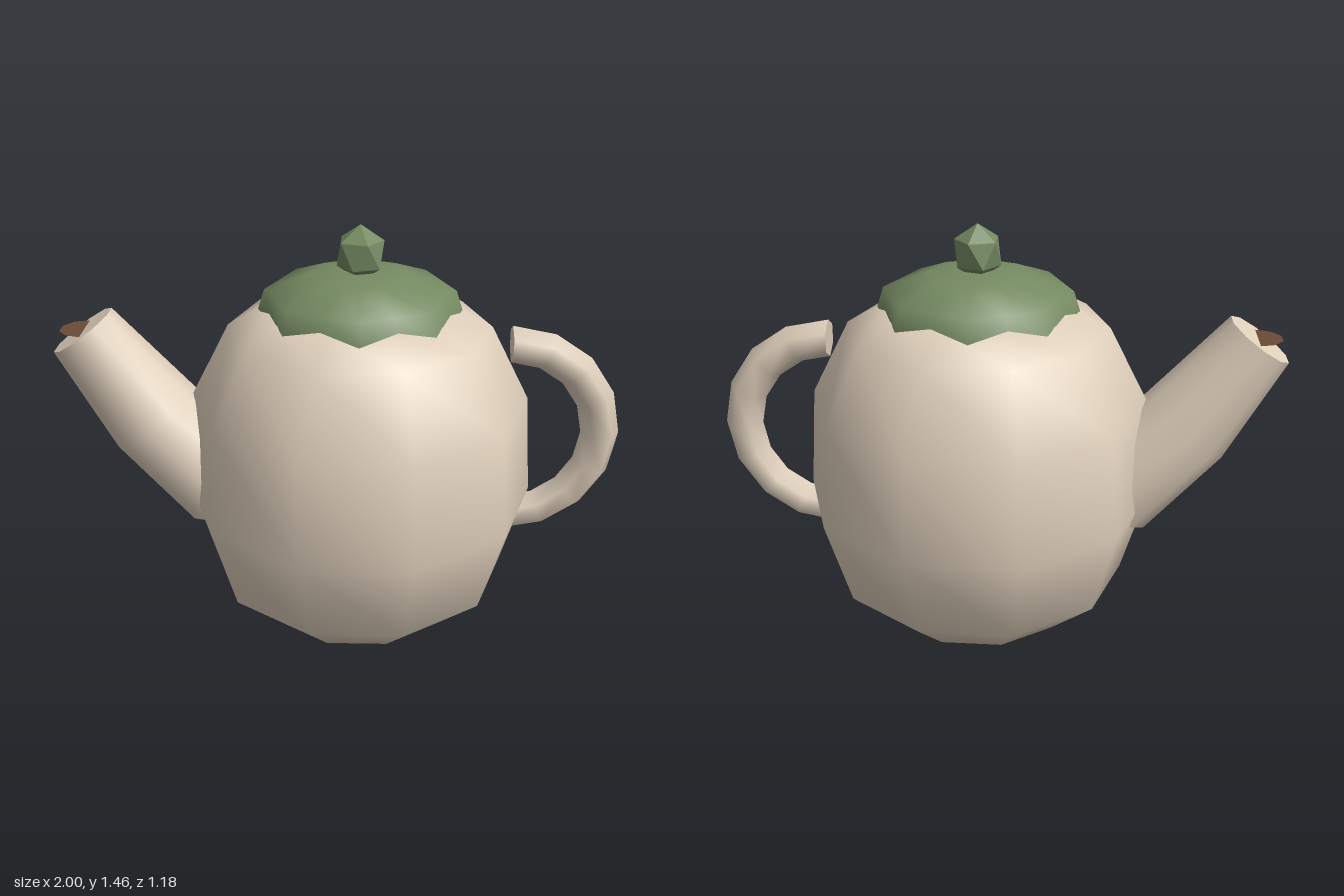
import * as THREE from 'three';
import { toCreasedNormals } from 'three/addons/utils/BufferGeometryUtils.js';

const CX = 0.07; // axis of body, lid and knob

const clay = new THREE.MeshStandardMaterial({ color: 0xe0d0bc });
const green = new THREE.MeshStandardMaterial({ color: 0x758a62 });
const greenThin = new THREE.MeshStandardMaterial({ color: 0x758a62, side: THREE.DoubleSide });
const greenFlat = new THREE.MeshStandardMaterial({ color: 0x758a62, flatShading: true });
const brown = new THREE.MeshStandardMaterial({ color: 0x6b4a38 });

const profile = (pts) => pts.map(([r, y]) => new THREE.Vector2(r, y));

function add(group, name, geometry, material, x = 0, y = 0, z = 0) {
  const mesh = new THREE.Mesh(geometry, material);
  mesh.name = name;
  mesh.position.set(x, y, z);
  group.add(mesh);
  return mesh;
}

// Eight-pointed leaf lid: the vertices between the points are drawn in, and raised at the rim
function lidGeometry() {
  const pts = profile([[0.355, 1.147], [0.33, 1.225], [0.175, 1.283], [0.08, 1.293], [0, 1.295]]);
  const geo = new THREE.LatheGeometry(pts, 16, Math.PI / 2);
  const pos = geo.attributes.position;
  for (let i = 0; i < pos.count; i++) {
    if (Math.floor(i / pts.length) % 2 === 0) continue;
    pos.setX(i, pos.getX(i) * 0.924);
    pos.setZ(i, pos.getZ(i) * 0.924);
    if (i % pts.length === 0) pos.setY(i, pos.getY(i) + 0.033);
  }
  geo.deleteAttribute('normal');
  return toCreasedNormals(geo, 1.2);
}

// Bent, tapering spout: three tilted rings, from tip to base
function spoutGeometry() {
  const rings = [
    { c: [-0.9, 1.07], r: 0.127, tilt: 0.61 },
    { c: [-0.66, 0.74], r: 0.175, tilt: 0.62 },
    { c: [-0.4, 0.49], r: 0.2, tilt: 0.785 },
  ];
  const geo = new THREE.CylinderGeometry(1, 1, 2, 10, 2);
  const pos = geo.attributes.position;
  for (let i = 0; i < pos.count; i++) {
    const { c, r, tilt } = rings[Math.round(1 - pos.getY(i))];
    const across = pos.getX(i) * r;
    pos.setXYZ(i, c[0] + across * Math.cos(tilt), c[1] + across * Math.sin(tilt), pos.getZ(i) * r);
  }
  return toCreasedNormals(geo, 0.9);
}

export function createModel() {
  const model = new THREE.Group();
  model.name = 'teapot';

  // Ten-sided body with flat base
  const body = profile([
    [0, 0], [0.346, 0], [0.527, 0.155], [0.622, 0.47], [0.596, 0.83],
    [0.46, 1.095], [0.31, 1.178], [0, 1.2],
  ]);
  add(model, 'body', new THREE.LatheGeometry(body, 10, Math.PI / 2), clay, CX);

  // Lid and faceted knob
  add(model, 'lid', lidGeometry(), greenThin, CX);
  const knob = new THREE.IcosahedronGeometry(0.09, 0);
  knob.rotateZ(Math.atan(2 / (1 + Math.sqrt(5)))); // stand on a corner
  knob.rotateY(Math.PI);
  knob.scale(1, 1.1, 1);
  add(model, 'knob', knob, greenFlat, CX, 1.356);

  // Spout with a level disc of tea at its mouth
  add(model, 'spout', spoutGeometry(), clay);
  const tea = new THREE.CircleGeometry(0.085, 10);
  tea.rotateZ(Math.PI / 10);
  tea.rotateX(-Math.PI / 2);
  add(model, 'tea', tea, brown, -0.895, 1.075);

  // Half-ring handle with capped ends
  const handle = new THREE.Group();
  handle.name = 'handle';
  handle.position.set(0.6, 0.7, 0);
  const grip = new THREE.TorusGeometry(0.332, 0.068, 6, 8, Math.PI);
  grip.rotateZ(-Math.PI / 2);
  add(handle, 'handleGrip', grip, clay);
  for (const side of [1, -1]) {
    const cap = new THREE.CircleGeometry(0.068, 6);
    cap.rotateZ(Math.PI / 6);
    cap.rotateY(-Math.PI / 2);
    add(handle, 'handleEnd', cap, clay, 0, side * 0.332, 0);
  }
  model.add(handle);

  return model;
}
